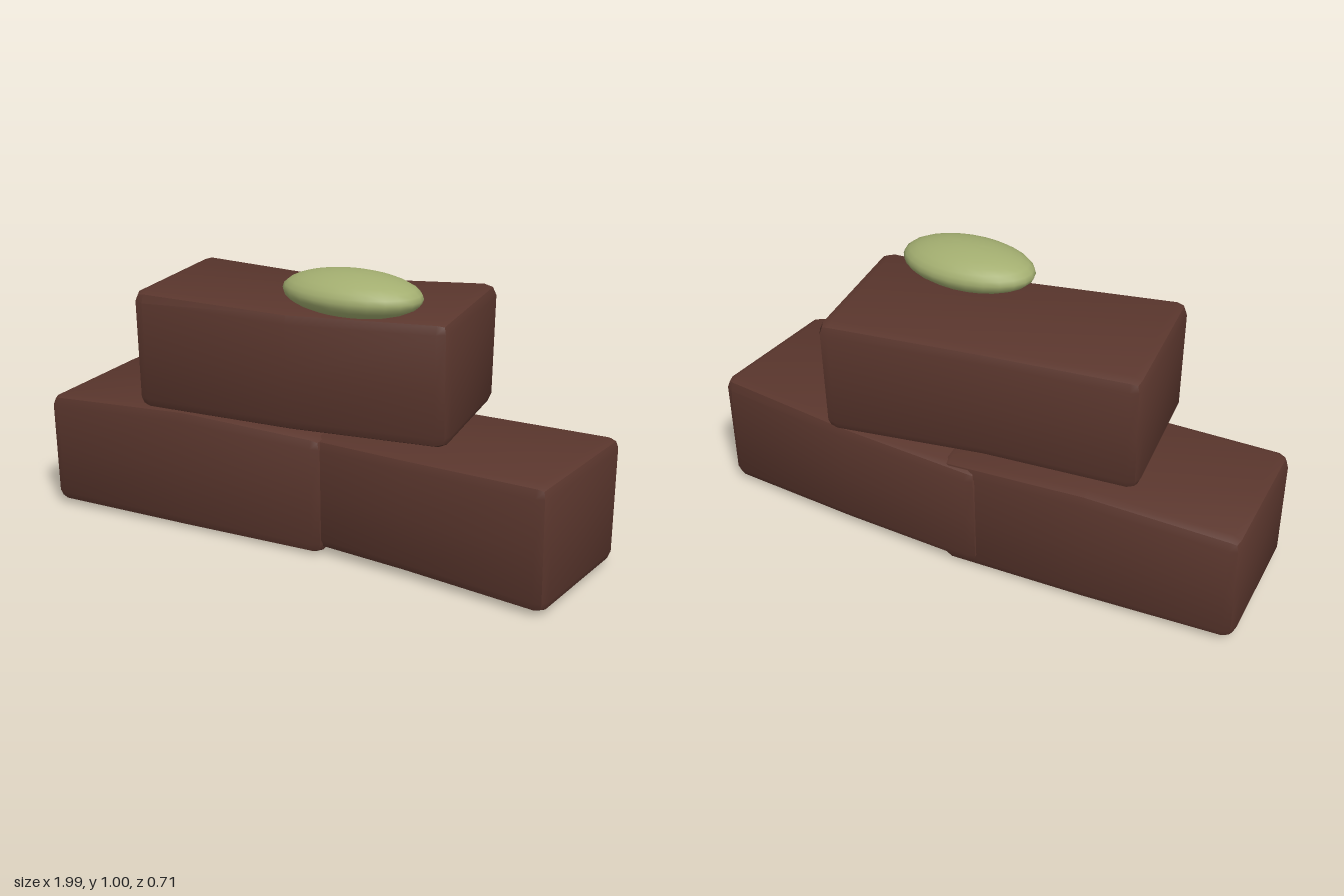
import * as THREE from 'three';
import { toCreasedNormals } from 'three/addons/utils/BufferGeometryUtils.js';

const chocolate = new THREE.MeshStandardMaterial({ color: 0x5a362d });
chocolate.name = 'chocolate brown';
const green = new THREE.MeshStandardMaterial({ color: 0xa3ae70 });
green.name = 'pale green';

// Quadratic through three values at t = -1, 0, 1
const bend = ([a, m, b], t) => m + (b - a) / 2 * t + ((a + b) / 2 - m) * t * t;
const mix = THREE.MathUtils.lerp;

// Bevelled block whose faces bow: z of front/back and y of top/bottom are
// given at left end, middle and right end; ends are [x at back, x at front].
function block(name, { leftEnd, rightEnd, front, back, top, bottom }) {
  const geo = new THREE.BoxGeometry(2, 2, 2, 4, 4, 4);
  const bevel = [0.075, 0.19, 0.15];
  const pos = geo.attributes.position;
  for (let i = 0; i < pos.count; i++) {
    const raw = [pos.getX(i), pos.getY(i), pos.getZ(i)];
    const outer = raw.filter((c) => Math.abs(c) > 0.9).length;
    const pull = [0, 0, 0.3, 0.45][outer];
    const [u, v, w] = raw.map((c, k) => {
      const a = Math.abs(c);
      return a < 0.1 ? 0 : Math.sign(c) * (1 - bevel[k] * (a > 0.9 ? pull : 1));
    });
    const s = (w + 1) / 2;
    const x = mix(mix(...leftEnd, s), mix(...rightEnd, s), (u + 1) / 2);
    const y = mix(bend(bottom, u), bend(top, u), (v + 1) / 2);
    const z = mix(bend(back, u), bend(front, u), s) * (1 - 0.025 * (1 - v));
    pos.setXYZ(i, x, y, z);
  }
  const mesh = new THREE.Mesh(toCreasedNormals(geo, 0.6), chocolate);
  mesh.name = name;
  return mesh;
}

export function createModel() {
  const model = new THREE.Group();
  model.name = 'stackedBlocks';

  // Two lower blocks overlapping at the middle
  model.add(block('lowerRightBlock', {
    leftEnd: [-1.0, -0.98], rightEnd: [0.07, 0.12],
    front: [0.305, 0.27, 0.255], back: [-0.265, -0.285, -0.305],
    top: [0.432, 0.455, 0.436], bottom: [0.018, 0.005, 0.008],
  }));
  model.add(block('lowerLeftBlock', {
    leftEnd: [-0.08, -0.1], rightEnd: [1.0, 0.95],
    front: [0.22, 0.265, 0.335], back: [-0.318, -0.285, -0.235],
    top: [0.43, 0.435, 0.457], bottom: [0.03, 0.022, 0.015],
  }));

  // Twisted block resting on top
  model.add(block('upperBlock', {
    leftEnd: [-0.62, -0.555], rightEnd: [0.485, 0.555],
    front: [0.36, 0.28, 0.21], back: [-0.22, -0.25, -0.37],
    top: [0.892, 0.867, 0.89], bottom: [0.465, 0.45, 0.457],
  }));

  // Flattened pebble with a slightly flat underside
  const geo = new THREE.SphereGeometry(1, 24, 14);
  const pos = geo.attributes.position;
  for (let i = 0; i < pos.count; i++) {
    const y = Math.max(pos.getY(i), -0.92);
    pos.setXYZ(i, pos.getX(i) * 0.247, y * 0.074, pos.getZ(i) * 0.15);
  }
  geo.computeVertexNormals();
  const pebble = new THREE.Mesh(toCreasedNormals(geo, 0.9), green);
  pebble.name = 'pebble';
  pebble.position.set(0.193, 0.934, 0.17);
  model.add(pebble);
  return model;
}
